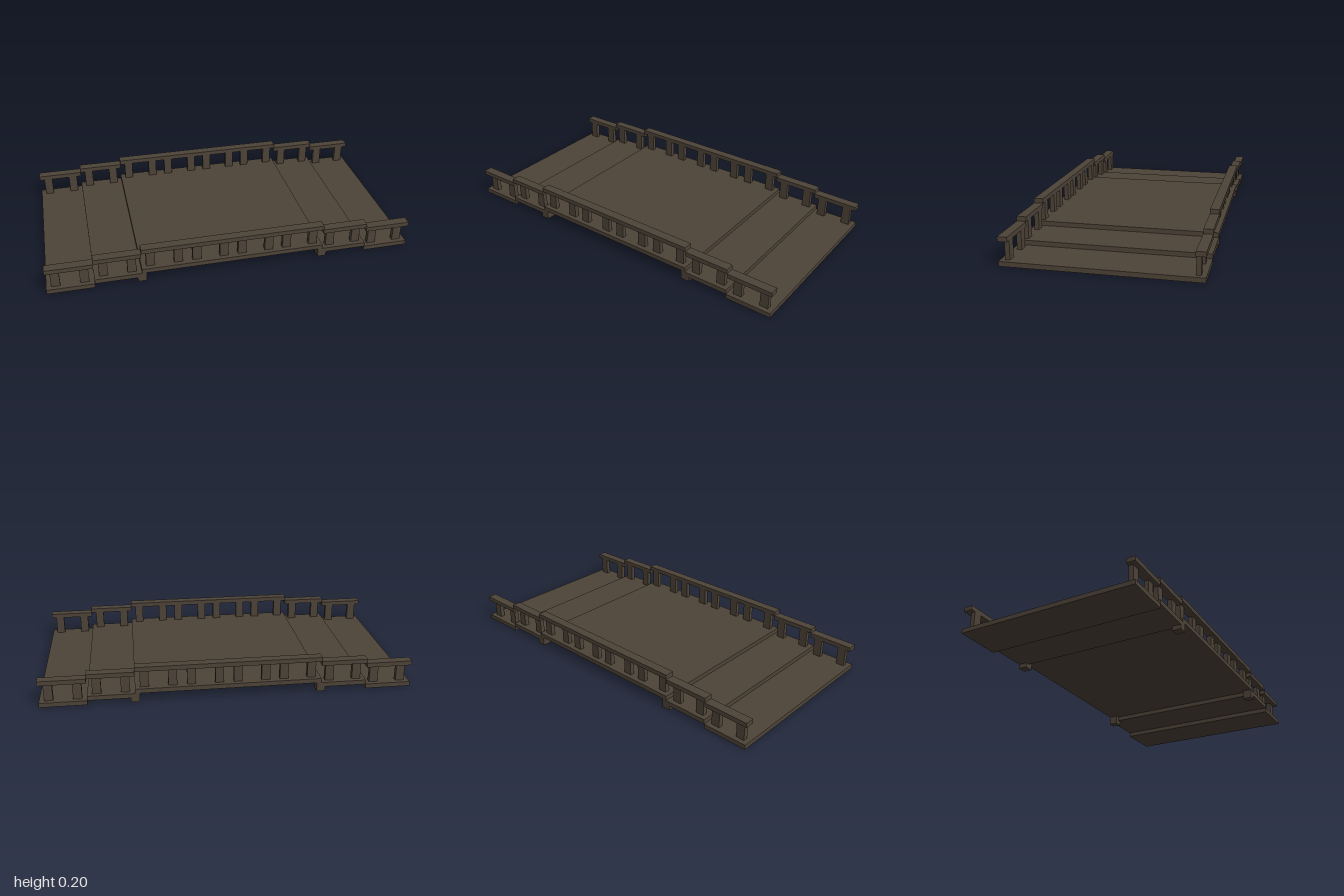
import * as THREE from 'three';

export function createModel() {
  const model = new THREE.Group();
  model.name = 'steppedBridge';
  const wood = new THREE.MeshStandardMaterial({ color: 0x4e4438 });
  wood.name = 'dark wood';

  // Box given by its centre in x and z and its underside in y
  const box = (parent, name, w, h, d, x, y, z) => {
    const mesh = new THREE.Mesh(new THREE.BoxGeometry(w, h, d), wood);
    mesh.name = name;
    mesh.position.set(x, y + h / 2, z);
    parent.add(mesh);
  };

  const T = 0.025; // plank thickness

  // One bridge section: deck, and on both sides a handrail on posts
  const section = (name, x, width, y, posts) => {
    const group = new THREE.Group();
    group.name = name;
    box(group, 'deck', width, T, 1, x, y, 0);
    for (const side of [1, -1]) {
      box(group, 'handrail', width, T, 0.05, x, y + 0.125, side * 0.475);
      for (const px of posts) box(group, 'post', 0.047, 0.1, T, px, y + T, side * 0.4625);
    }
    model.add(group);
  };

  section('middleSpan', 0, 1, 0.05, [-0.45, -0.3, -0.2, -0.05, 0.05, 0.2, 0.3, 0.45]);
  for (const end of [1, -1]) {
    section('upperStep', end * 0.625, 0.25, 0.025, [end * 0.55, end * 0.7]);
    section('lowerStep', end * 0.875, 0.25, 0, [end * 0.8, end * 0.95]);
    // Feet under the corners of the middle span
    for (const side of [1, -1]) box(model, 'foot', 0.047, 0.05, 0.05, end * 0.5, 0, side * 0.475);
  }
  return model;
}
